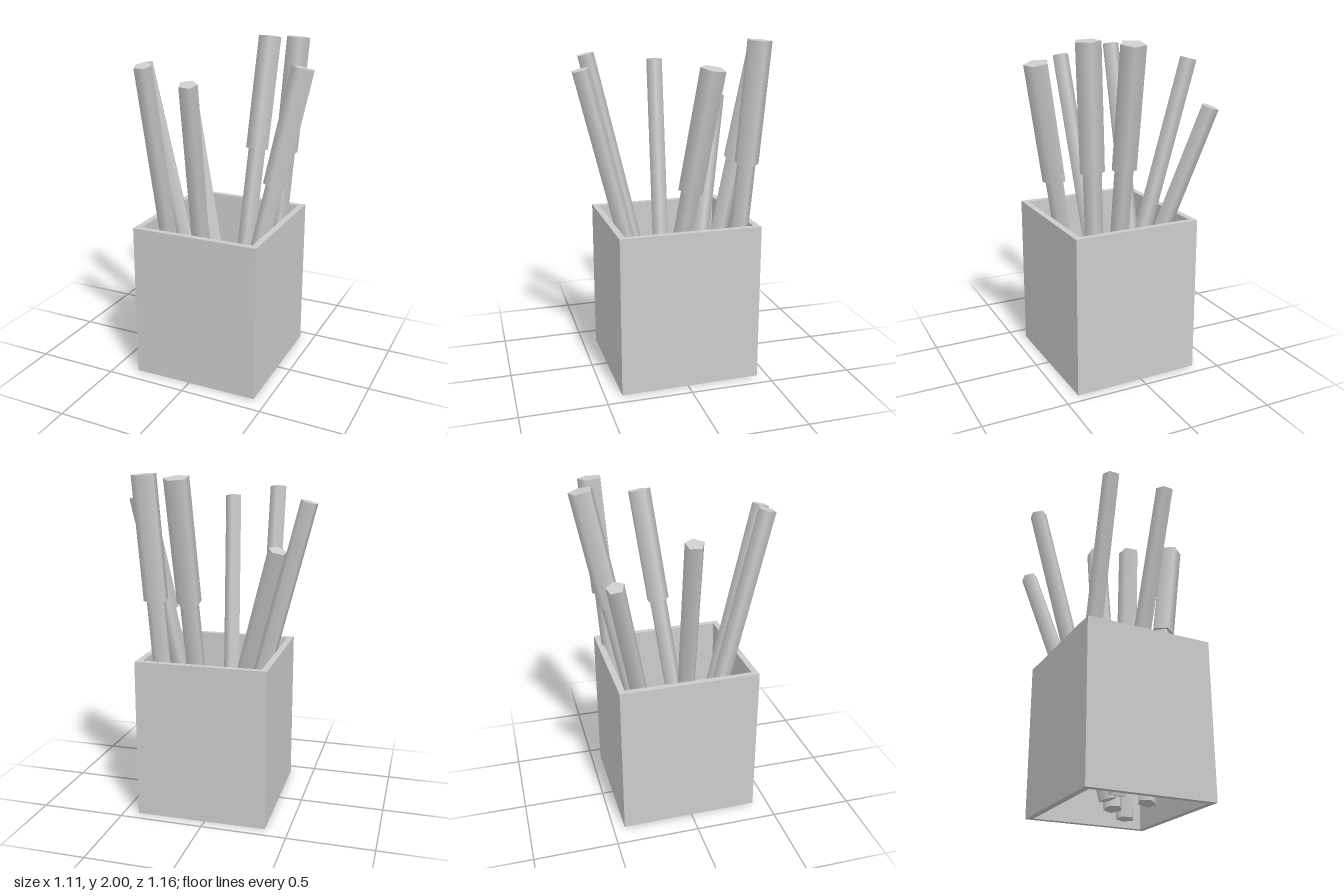
import * as THREE from 'three';

const material = new THREE.MeshStandardMaterial({ color: 0xcccccc });
const SIDES = 5;

// Five-sided rod from a to b; turn (degrees, x towards z) aims one of its corners
function rod(name, a, b, radius, turn) {
  const axis = b.clone().sub(a);
  const length = axis.length();
  const geometry = new THREE.CylinderGeometry(
    radius, radius, length, SIDES, 1, false, THREE.MathUtils.degToRad(90 - turn));
  const mesh = new THREE.Mesh(geometry, material);
  mesh.name = name;
  mesh.position.copy(a).add(b).multiplyScalar(0.5);
  mesh.quaternion.setFromUnitVectors(new THREE.Vector3(0, 1, 0), axis.normalize());
  return mesh;
}

// Square tube, open at the top and bottom
function createHolder() {
  const w = 0.775, d = 0.84, h = 0.945, wall = 0.037;
  const rectangle = (Type, x, y) => new Type([
    new THREE.Vector2(-x, -y), new THREE.Vector2(x, -y),
    new THREE.Vector2(x, y), new THREE.Vector2(-x, y),
  ]);
  const shape = rectangle(THREE.Shape, w / 2, d / 2);
  shape.holes.push(rectangle(THREE.Path, w / 2 - wall, d / 2 - wall));
  const geometry = new THREE.ExtrudeGeometry(shape, { depth: h, bevelEnabled: false });
  geometry.rotateX(-Math.PI / 2);
  const mesh = new THREE.Mesh(geometry, material);
  mesh.name = 'holder';
  mesh.position.set(0.029, 0, -0.015);
  mesh.rotation.y = 0.013;
  return mesh;
}

export function createModel() {
  const group = new THREE.Group();
  group.name = 'penHolder';
  group.add(createHolder());

  // Plain pencils: bottom, top, corner direction
  const pencils = [
    [[0.0, 0.17, -0.14], [-0.415, 1.61, -0.44], 75],
    [[-0.045, 0.05, 0.02], [-0.51, 1.84, -0.045], 8],
    [[-0.24, 0.09, 0.02], [-0.23, 1.9, 0.45], -90],
    [[-0.02, 0.06, 0.085], [0.085, 1.835, 0.535], -90],
  ];
  for (const [a, b, turn] of pencils) {
    group.add(rod('pencil', new THREE.Vector3(...a), new THREE.Vector3(...b), 0.053, turn));
  }

  // Markers: thin barrel with a wider cap over the upper end
  const markers = [
    [[0.06, 0.04, -0.135], [0.115, 1.98, -0.515], 0],
    [[0.22, 0.03, -0.3], [0.33, 1.995, -0.425], -80],
    [[0.15, 0.03, 0.11], [0.485, 1.86, -0.105], 20],
  ];
  for (const [a, b, turn] of markers) {
    const bottom = new THREE.Vector3(...a);
    const top = new THREE.Vector3(...b);
    const capLength = 0.7;
    const capStart = top.clone().sub(
      top.clone().sub(bottom).normalize().multiplyScalar(capLength));
    const barrelEnd = capStart.clone().lerp(top, 0.1);
    const marker = new THREE.Group();
    marker.name = 'marker';
    marker.add(rod('markerBarrel', bottom, barrelEnd, 0.056, turn));
    marker.add(rod('markerCap', capStart, top, 0.073, turn));
    group.add(marker);
  }
  return group;
}
